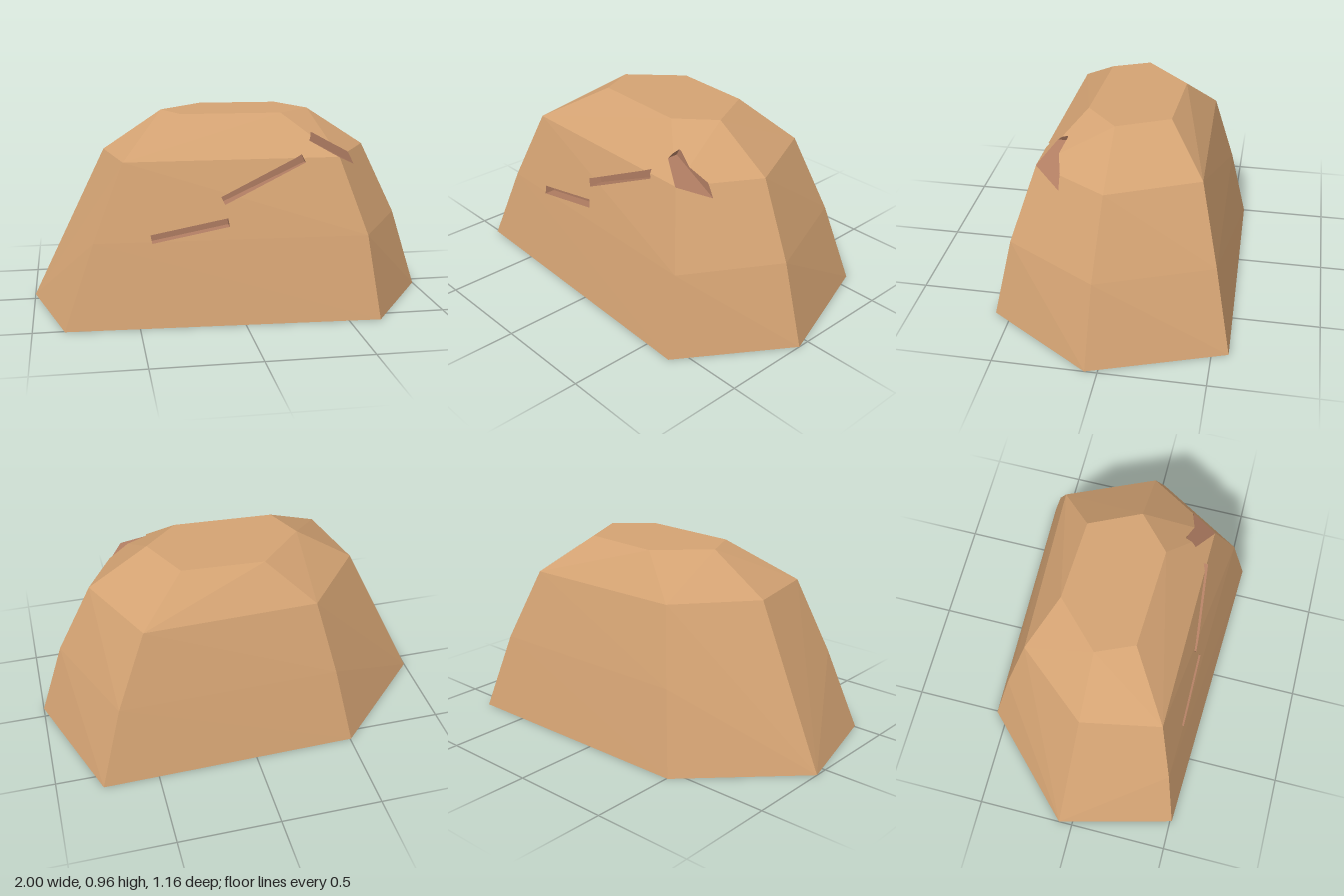
import * as THREE from 'three';
import { ConvexGeometry } from 'three/addons/geometries/ConvexGeometry.js';

// Rings of the boulder from base to top: height, then six [x, z] corners
const RINGS = [
  [0, [[-1, -0.07], [-0.85, 0.51], [0.655, 0.58], [1, 0.06], [0.775, -0.58], [-0.505, -0.56]]],
  [0.4, [[-0.805, -0.05], [-0.705, 0.44], [0.605, 0.495], [0.875, 0.045], [0.66, -0.497], [-0.425, -0.478]]],
  [0.765, [[-0.63, -0.03], [-0.555, 0.357], [0.485, 0.38], [0.7, 0.02], [0.508, -0.405], [-0.337, -0.382]]],
  [0.957, [[-0.337, -0.03], [-0.257, 0.153], [0.235, 0.177], [0.405, 0.02], [0.288, -0.228], [-0.112, -0.25]]],
];

// Grooves cut into the front: centre x, y, z of the back wall, length, tilt
const GROOVES = [
  { x: -0.25, y: 0.445, back: 0.4, length: 0.375, tilt: 0.18 },
  { x: 0.11, y: 0.67, back: 0.355, length: 0.44, tilt: 0.43 },
  { x: 0.537, y: 0.757, back: 0.25, length: 0.4, tilt: -0.5 },
];
const GROOVE_HEIGHT = 0.04;
const GROOVE_REACH = 0.4;
const EPS = 1e-6;

// Triangles of a geometry as arrays of three points
function trianglesOf(geometry) {
  const pos = (geometry.index ? geometry.toNonIndexed() : geometry).attributes.position;
  const tris = [];
  for (let i = 0; i < pos.count; i += 3) {
    tris.push([0, 1, 2].map((k) => new THREE.Vector3().fromBufferAttribute(pos, i + k)));
  }
  return tris;
}

const planesOf = (tris) => tris.map((t) => new THREE.Plane().setFromCoplanarPoints(...t));

// Part of a convex polygon behind a plane (side = 1) or in front of it (side = -1)
function clip(poly, plane, side) {
  const d = poly.map((p) => side * plane.distanceToPoint(p));
  if (side < 0 && d.every((v) => v > -EPS)) return [];
  const out = [];
  poly.forEach((p, i) => {
    const j = (i + 1) % poly.length;
    if (d[i] <= EPS) out.push(p);
    if ((d[i] > EPS && d[j] < -EPS) || (d[i] < -EPS && d[j] > EPS)) {
      out.push(p.clone().lerp(poly[j], d[i] / (d[i] - d[j])));
    }
  });
  return out.length > 2 ? out : [];
}

// Pieces of a polygon left after removing what lies inside a convex solid
function subtract(poly, planes) {
  const kept = [];
  let rest = poly;
  for (const plane of planes) {
    const outside = clip(rest, plane, -1);
    if (outside.length) kept.push(outside);
    rest = clip(rest, plane, 1);
    if (!rest.length) return [poly];
  }
  return kept;
}

// Fan-triangulated, flat-shaded mesh from convex polygons
function polygonMesh(polys, color, name) {
  const points = [];
  for (const p of polys) {
    for (let i = 1; i < p.length - 1; i++) {
      if (new THREE.Triangle(p[0], p[i], p[i + 1]).getArea() > 1e-9) points.push(p[0], p[i], p[i + 1]);
    }
  }
  const geometry = new THREE.BufferGeometry().setFromPoints(points);
  geometry.computeVertexNormals();
  const mesh = new THREE.Mesh(geometry, new THREE.MeshStandardMaterial({ color, flatShading: true }));
  mesh.name = name;
  return mesh;
}

export function createModel() {
  const group = new THREE.Group();
  group.name = 'boulder';

  // Faceted body
  const corners = RINGS.flatMap(([y, ring]) => ring.map(([x, z]) => new THREE.Vector3(x, y, z)));
  const bodyTris = trianglesOf(new ConvexGeometry(corners));
  const bodyPlanes = planesOf(bodyTris);
  let surface = bodyTris;

  // Each groove removes a slot from the body and lines it with walls
  for (const g of GROOVES) {
    const box = new THREE.BoxGeometry(g.length, GROOVE_HEIGHT, GROOVE_REACH)
      .rotateZ(g.tilt)
      .translate(g.x, g.y, g.back + GROOVE_REACH / 2);
    const boxTris = trianglesOf(box);
    const boxPlanes = planesOf(boxTris);
    surface = surface.flatMap((poly) => subtract(poly, boxPlanes));
    const walls = boxTris
      .map((t) => bodyPlanes.reduce((poly, plane) => (poly.length ? clip(poly, plane, 1) : poly), [...t].reverse()))
      .filter((poly) => poly.length);
    group.add(polygonMesh(walls, 0xb07d62, 'groove'));
  }

  group.add(polygonMesh(surface, 0xd4a373, 'rockBody'));
  return group;
}
